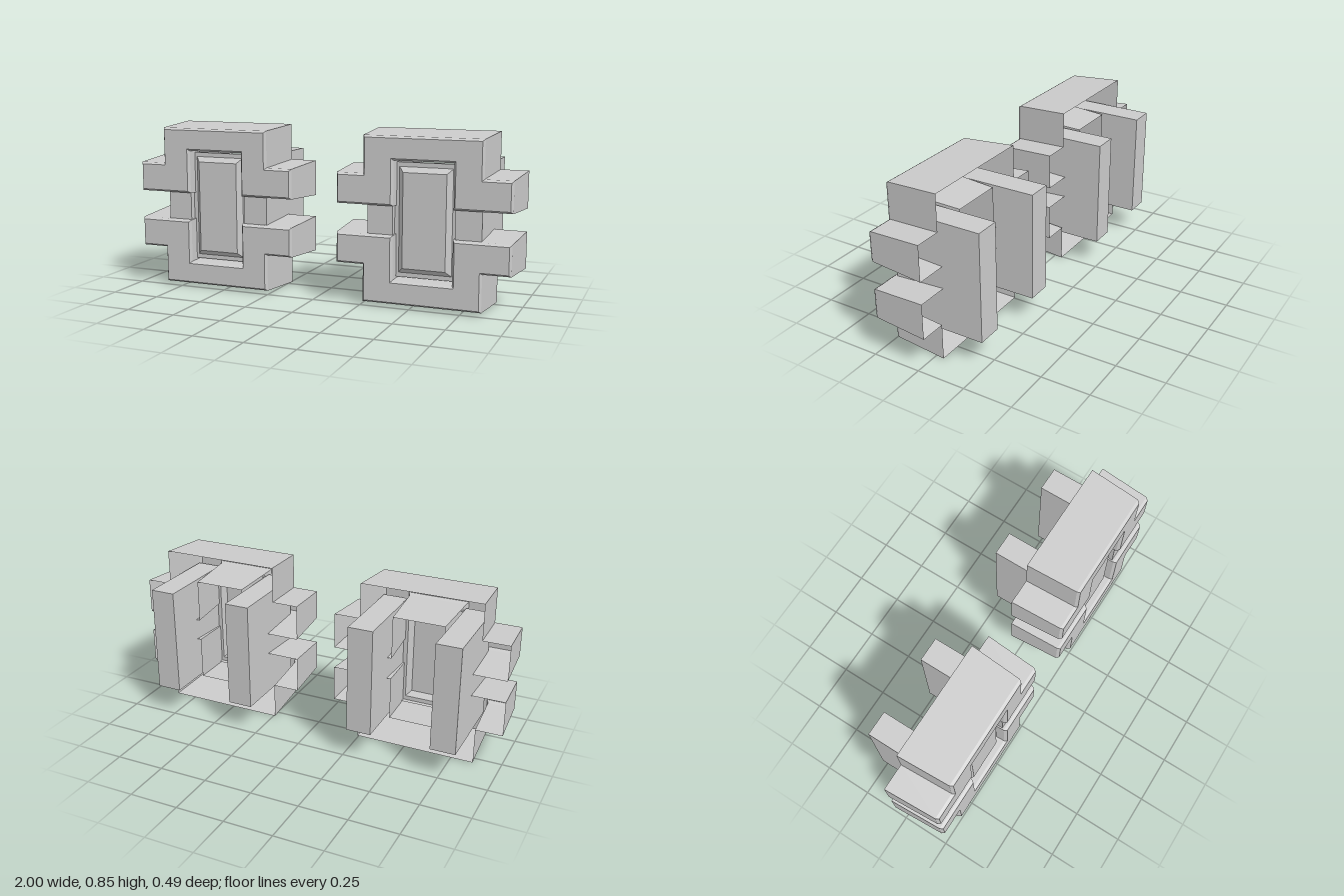
import * as THREE from 'three';

const HEIGHT = 0.847;   // full height of a pad
const PAD_X = 0.553;    // centre of each pad
const MID = 0.005;      // window and fin centre within a pad

const material = new THREE.MeshStandardMaterial({
  color: 0xcccccc, flatShading: true, side: THREE.DoubleSide,
});

// Moves every edge of a counter-clockwise outline inward by d, with mitred corners
function insetOutline(points, d) {
  const n = points.length;
  const inward = (a, b) => {
    const l = Math.hypot(b[0] - a[0], b[1] - a[1]);
    return [-(b[1] - a[1]) / l, (b[0] - a[0]) / l];
  };
  return points.map((p, i) => {
    const a = inward(points[(i + n - 1) % n], p);
    const b = inward(p, points[(i + 1) % n]);
    const k = d / (1 + a[0] * b[0] + a[1] * b[1]);
    return [p[0] + (a[0] + b[0]) * k, p[1] + (a[1] + b[1]) * k];
  });
}

// Open-backed shell: layers are [z, inset] from back to front, closed by a front cap
function shell(name, outline, layers) {
  const rings = layers.map(([z, d]) => insetOutline(outline, d).map(([x, y]) => [x, y, z]));
  const pos = [];
  const tri = (a, b, c) => pos.push(...a, ...b, ...c);
  for (let k = 0; k < rings.length - 1; k++) {
    outline.forEach((_, i) => {
      const j = (i + 1) % outline.length;
      const [a, b, c, d] = [rings[k][i], rings[k][j], rings[k + 1][j], rings[k + 1][i]];
      tri(a, b, c);
      tri(a, c, d);
    });
  }
  const front = rings[rings.length - 1];
  const flat = front.map(([x, y]) => new THREE.Vector2(x, y));
  THREE.ShapeUtils.triangulateShape(flat, []).forEach(([a, b, c]) => tri(front[a], front[b], front[c]));
  const geometry = new THREE.BufferGeometry();
  geometry.setAttribute('position', new THREE.Float32BufferAttribute(pos, 3));
  geometry.computeVertexNormals();
  const mesh = new THREE.Mesh(geometry, material);
  mesh.name = name;
  return mesh;
}

function createPad(name) {
  const pad = new THREE.Group();
  pad.name = name;

  // Upper half: block with two side arms and an arch over the window
  const block = 0.31, arm = 0.447, win = 0.133;
  const upper = [
    [-arm, 0.48], [MID - win, 0.48], [MID - win, 0.70], [MID + win, 0.70],
    [MID + win, 0.48], [arm, 0.48], [arm, 0.662], [block, 0.662],
    [block, HEIGHT], [-block, HEIGHT], [-block, 0.662], [-arm, 0.662],
  ];
  // Lower half is the upper one turned over
  const lower = upper.map(([x, y]) => [x, HEIGHT - y]).reverse();

  // Drafted walls with a chamfered front edge
  const draft = [[-0.043, 0], [0.23, 0.015], [0.245, 0.025]];
  pad.add(shell('upperPad', upper, draft), shell('lowerPad', lower, draft));

  // Two upright fins that tie the halves together and stick out behind
  for (const side of [-1, 1]) {
    const fin = new THREE.Mesh(new THREE.BoxGeometry(0.128, 0.555, 0.463), material);
    fin.name = side < 0 ? 'rightFin' : 'leftFin';
    fin.position.set(MID + side * 0.218, HEIGHT / 2, -0.0135);
    pad.add(fin);
  }

  // Bevelled panel set into the window between the fins
  const w = 0.154, y0 = 0.143, y1 = HEIGHT - y0;
  const rect = [[MID - w, y0], [MID + w, y0], [MID + w, y1], [MID - w, y1]];
  pad.add(shell('windowPanel', rect, [[0.16, 0], [0.185, 0], [0.185, 0.022], [0.21, 0.047]]));
  return pad;
}

export function createModel() {
  const model = new THREE.Group();
  model.name = 'trackPads';
  for (const side of [-1, 1]) {
    const pad = createPad(side < 0 ? 'rightTrackPad' : 'leftTrackPad');
    pad.position.x = side * PAD_X;
    model.add(pad);
  }
  return model;
}
